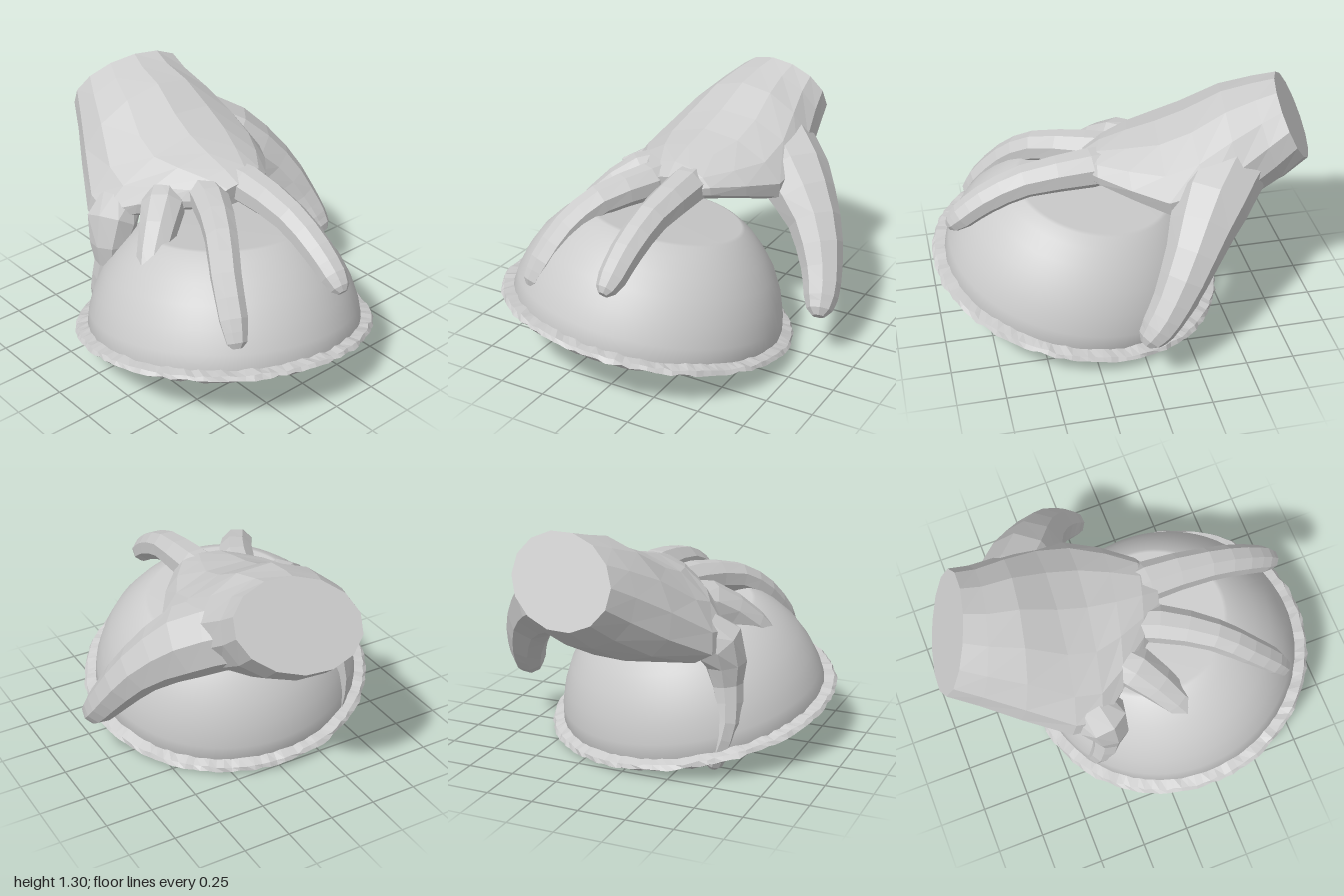
import * as THREE from 'three';

const V = (p) => new THREE.Vector3(...p);
const grey = { color: 0xcccccc };
const faceted = new THREE.MeshStandardMaterial({ ...grey, flatShading: true });
const smooth = new THREE.MeshStandardMaterial({ ...grey, side: THREE.DoubleSide });

// Closed skin over elliptical rings {c, u, v}, where u x v points along the run; droop lowers the sides
function loft(name, rings, sides) {
  const pos = [], index = [];
  for (const { c, u, v, droop = 0 } of rings) {
    for (let j = 0; j < sides; j++) {
      const a = ((j + 0.5) / sides) * Math.PI * 2;
      const p = c.clone().addScaledVector(u, Math.cos(a)).addScaledVector(v, Math.sin(a));
      pos.push(p.x, p.y - droop * Math.cos(a) ** 2, p.z);
    }
  }
  const last = rings.length - 1, start = pos.length / 3, end = start + 1;
  pos.push(...rings[0].c.toArray(), ...rings[last].c.toArray());
  for (let j = 0; j < sides; j++) {
    const k = (j + 1) % sides;
    for (let i = 0; i < last; i++) {
      const a = i * sides + j, b = i * sides + k;
      index.push(a, b, a + sides, b, b + sides, a + sides);
    }
    index.push(start, k, j, end, last * sides + j, last * sides + k);
  }
  const g = new THREE.BufferGeometry();
  g.setAttribute('position', new THREE.Float32BufferAttribute(pos, 3));
  g.setIndex(index);
  g.computeVertexNormals();
  const mesh = new THREE.Mesh(g, faceted);
  mesh.name = name;
  return mesh;
}

// Finger from joints [x, y, z, radius], with a blunt tapered tip
function finger(name, joints, hinge) {
  const curve = new THREE.CatmullRomCurve3(joints.map((j) => V(j.slice(0, 3))));
  const steps = (joints.length - 1) * 2, rings = [];
  const axis = V(hinge).normalize();
  for (let i = 0; i <= steps; i++) {
    const t = i / steps, f = t * (joints.length - 1);
    const k = Math.min(Math.floor(f), joints.length - 2);
    const r = THREE.MathUtils.lerp(joints[k][3], joints[k + 1][3], f - k);
    const dir = curve.getTangent(t);
    const u = axis.clone().addScaledVector(dir, -axis.dot(dir)).normalize();
    const v = dir.clone().cross(u);
    rings.push({ c: curve.getPoint(t), u: u.multiplyScalar(r), v: v.multiplyScalar(r * 0.95) });
    if (i === steps) {
      rings.push({
        c: curve.getPoint(1).addScaledVector(dir, r * 0.5),
        u: u.clone().multiplyScalar(0.5), v: v.clone().multiplyScalar(0.5),
      });
    }
  }
  return loft(name, rings, 8);
}

function createHand() {
  const hand = new THREE.Group();
  hand.name = 'hand';

  // Wrist to knuckles: centre, half width (towards the thumb), half height, droop
  const sections = [
    [[-0.865, 1.09, -0.14], [0.09, 0.03, -0.3], [0.1, 0.21, 0.02], 0],
    [[-0.75, 1.02, -0.11], [0.08, 0.03, -0.34], [0.09, 0.25, 0.02], 0.01],
    [[-0.58, 0.95, -0.07], [0.07, 0.04, -0.41], [0.08, 0.28, 0], 0.05],
    [[-0.38, 0.89, -0.02], [0.05, 0.07, -0.49], [0.06, 0.24, -0.02], 0.1],
    [[-0.22, 0.88, 0], [0.07, 0.06, -0.49], [0.05, 0.19, -0.02], 0.12],
    [[-0.06, 0.89, 0], [0.08, 0.04, -0.38], [0.04, 0.14, -0.01], 0.07],
    [[0.1, 0.89, -0.01], [0.07, 0.03, -0.24], [0.02, 0.1, 0], 0.03],
    [[0.2, 0.88, -0.02], [0.03, 0.02, -0.13], [0.01, 0.06, 0], 0.01],
  ];
  hand.add(loft('palmAndWrist', sections.map(([c, u, v, droop]) => ({ c: V(c), u: V(u), v: V(v), droop })), 14));

  hand.add(
    finger('thumb', [
      [-0.55, 0.95, -0.24, 0.2], [-0.36, 0.83, -0.46, 0.195], [-0.22, 0.66, -0.65, 0.14],
      [-0.1, 0.47, -0.755, 0.108], [-0.015, 0.35, -0.795, 0.09], [0.03, 0.3, -0.808, 0.068],
    ], [0.7, 0, 0.5]),
    finger('indexFinger', [
      [-0.14, 0.91, -0.07, 0.08], [0.18, 0.89, -0.11, 0.108], [0.52, 0.85, -0.1, 0.09],
      [0.73, 0.76, -0.09, 0.082], [0.85, 0.675, -0.085, 0.072], [0.902, 0.633, -0.08, 0.052],
    ], [0, 0, -1]),
    finger('middleFinger', [
      [-0.14, 0.88, 0.02, 0.08], [0.16, 0.865, 0.12, 0.1], [0.41, 0.825, 0.265, 0.085],
      [0.56, 0.715, 0.365, 0.08], [0.69, 0.56, 0.43, 0.075], [0.75, 0.468, 0.458, 0.054],
    ], [0.45, 0, -0.85]),
    finger('ringFinger', [
      [-0.22, 0.85, 0.1, 0.09], [-0.03, 0.81, 0.28, 0.115], [0.12, 0.67, 0.465, 0.085],
      [0.23, 0.48, 0.58, 0.072], [0.285, 0.27, 0.65, 0.07], [0.3, 0.175, 0.645, 0.05],
    ], [0.9, 0, -0.4]),
    finger('littleFinger', [
      [-0.38, 0.8, 0.22, 0.1], [-0.27, 0.68, 0.43, 0.14], [-0.25, 0.46, 0.47, 0.085],
      [-0.29, 0.28, 0.49, 0.072], [-0.32, 0.12, 0.45, 0.066], [-0.32, 0.045, 0.43, 0.046],
    ], [1, 0, 0.2]),
  );
  return hand;
}

function createBowl() {
  const bowl = new THREE.Group();
  bowl.name = 'bowl';

  // Wall: down the inside, then up the outside to the flat base
  const wall = [[0.42, 0.52], [0.48, 0.48], [0.55, 0.41], [0.62, 0.32], [0.675, 0.21], [0.71, 0.1], [0.725, 0]];
  const inside = wall.map(([r, h]) => [r - 0.03, h - 0.025]);
  inside[inside.length - 1][1] = 0;
  const profile = [[0, 0.495], [0.38, 0.495], ...inside, ...wall.slice().reverse(), [0.4, 0.526], [0, 0.526]];
  const shell = new THREE.Mesh(
    new THREE.LatheGeometry(profile.map(([r, h]) => new THREE.Vector2(r, h)), 72), smooth);
  shell.name = 'bowlShell';

  // Chipped lip: a thin ring with its corners nudged by a seeded rule
  let seed = 7;
  const rand = () => (seed = (seed * 16807) % 2147483647) / 2147483647 - 0.5;
  const n = 120, corners = [[0.685, -0.012], [0.75, -0.02], [0.785, -0.002], [0.772, 0.018], [0.715, 0.028]];
  const m = corners.length, pos = [], index = [];
  for (let i = 0; i < n; i++) {
    const a = (i / n) * Math.PI * 2;
    corners.forEach(([r, h], j) => {
      const rr = r + rand() * 0.012;
      pos.push(rr * Math.sin(a), h + rand() * 0.012, rr * Math.cos(a));
      const k = (j + 1) % m, p = i * m, q = ((i + 1) % n) * m;
      index.push(p + j, q + j, p + k, q + j, q + k, p + k);
    });
  }
  const g = new THREE.BufferGeometry();
  g.setAttribute('position', new THREE.Float32BufferAttribute(pos, 3));
  g.setIndex(index);
  g.computeVertexNormals();
  const rim = new THREE.Mesh(g, faceted);
  rim.name = 'bowlRim';

  // Upside down and tipped towards the wrist
  bowl.add(shell, rim);
  bowl.position.set(0.235, 0.18, 0.09);
  bowl.quaternion.setFromUnitVectors(new THREE.Vector3(0, 1, 0), new THREE.Vector3(-0.18, 1, -0.115).normalize());
  return bowl;
}

export function createModel() {
  const model = new THREE.Group();
  model.name = 'handOverBowl';
  model.add(createHand(), createBowl());
  return model;
}
